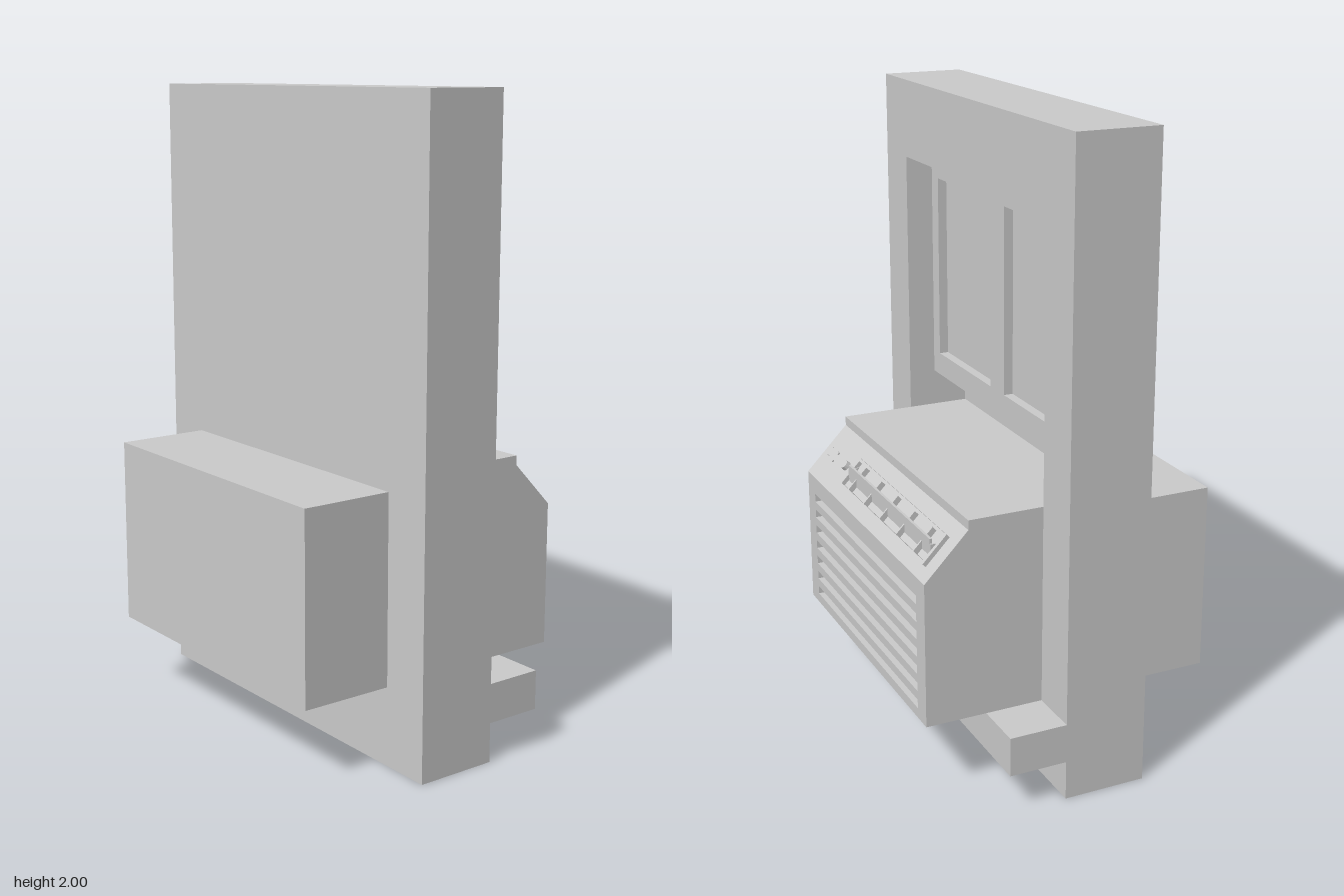
import * as THREE from 'three';

const mat = new THREE.MeshStandardMaterial({ color: 0xcccccc, flatShading: true });

function add(parent, name, geometry) {
  const mesh = new THREE.Mesh(geometry, mat);
  mesh.name = name;
  parent.add(mesh);
  return mesh;
}

// Box given by its limits
function box(parent, name, x0, x1, y0, y1, z0, z1) {
  const m = add(parent, name, new THREE.BoxGeometry(x1 - x0, y1 - y0, z1 - z0));
  m.position.set((x0 + x1) / 2, (y0 + y1) / 2, (z0 + z1) / 2);
  return m;
}

const corners = (z0, z1, y0, y1) =>
  [[-z1, y0], [-z0, y0], [-z0, y1], [-z1, y1]].map(([a, b]) => new THREE.Vector2(a, b));

// Panel facing +x with rectangular holes; rectangles are [z0, z1, y0, y1]
function panel(parent, name, x0, x1, rect, holes) {
  const shape = new THREE.Shape(corners(...rect));
  holes.forEach(h => shape.holes.push(new THREE.Path(corners(...h).reverse())));
  const g = new THREE.ExtrudeGeometry(shape, { depth: x1 - x0, bevelEnabled: false });
  g.rotateY(Math.PI / 2).translate(x0, 0, 0);
  return add(parent, name, g);
}

export function createModel() {
  const model = new THREE.Group();
  model.name = 'windowAirConditioner';

  // Wall with a recessed opening, and the sill
  panel(model, 'wall', -0.115, 0.09, [-0.67, 0.67, 0, 2], [[-0.505, 0.505, 0.25, 1.75]]);
  box(model, 'wallBack', -0.175, -0.115, 0, 2, -0.67, 0.67);
  box(model, 'sill', 0.09, 0.275, 0.125, 0.25, -0.67, 0.67);

  // Raised sash with two panes
  panel(model, 'sashFrame', -0.03, 0, [-0.505, 0.505, 1.005, 1.75],
    [[0.05, 0.455, 1.08, 1.68], [-0.455, -0.05, 1.08, 1.68]]);
  box(model, 'sashPanes', -0.115, -0.03, 1.005, 1.75, -0.505, 0.505);

  // Outdoor housing
  box(model, 'outdoorHousing', -0.475, -0.175, 0.25, 0.85, -0.505, 0.505);

  // Indoor housing with a sloping control face
  const profile = [[-0.115, 0.25], [0.44, 0.25], [0.44, 0.7], [0.47, 0.7], [0.47, 0.71],
    [0.33, 0.855], [0.33, 0.885], [-0.115, 0.885]].map(p => new THREE.Vector2(...p));
  const body = new THREE.ExtrudeGeometry(new THREE.Shape(profile), { depth: 1.008, bevelEnabled: false });
  add(model, 'indoorHousing', body.translate(0, 0, -0.504));

  // Intake grille with a slanted blade behind every slot
  const slots = [];
  for (let i = 0; i < 7; i++) {
    const y = 0.636 - i * 0.0567;
    slots.push([-0.44, 0.44, y - 0.014, y + 0.014]);
    const blade = add(model, 'grilleBlade', new THREE.BoxGeometry(0.004, 0.036, 0.88));
    blade.position.set(0.453, y, 0);
    blade.rotation.z = -0.6;
  }
  panel(model, 'grille', 0.44, 0.47, [-0.504, 0.504, 0.25, 0.7], slots);

  // Control face: local x points out of the slope, local y up it
  const face = new THREE.Group();
  face.name = 'controlFace';
  face.position.set(0.4, 0.7825, 0);
  face.rotation.z = Math.atan2(0.14, 0.145);
  model.add(face);

  // Air outlet: frame, fins and a flap standing upright in front
  panel(face, 'outletFrame', 0, 0.014, [-0.45, 0.255, -0.06, 0.05], [[-0.436, 0.24, -0.05, 0.04]]);
  for (let i = 0; i < 5; i++) {
    const z = -0.436 + (i + 0.5) * 0.135;
    box(face, 'outletFin', 0, 0.018, -0.05, 0.04, z - 0.003, z + 0.003);
  }
  box(face, 'outletCrossbar', 0, 0.016, -0.005, 0.003, -0.436, 0.24);
  box(model, 'outletFlap', 0.412, 0.42, 0.748, 0.815, -0.43, 0.235);
  for (const z of [-0.437, 0.235]) box(model, 'flapPivot', 0.385, 0.42, 0.77, 0.8, z, z + 0.007);

  // Buttons and dial
  for (const y of [-0.018, 0.012]) box(face, 'button', 0, 0.005, y - 0.004, y + 0.004, 0.405, 0.47);
  const dial = add(face, 'dial', new THREE.CylinderGeometry(0.014, 0.016, 0.014, 12));
  dial.rotation.z = -Math.PI / 2;
  dial.position.set(0.007, 0, 0.31);

  return model;
}
